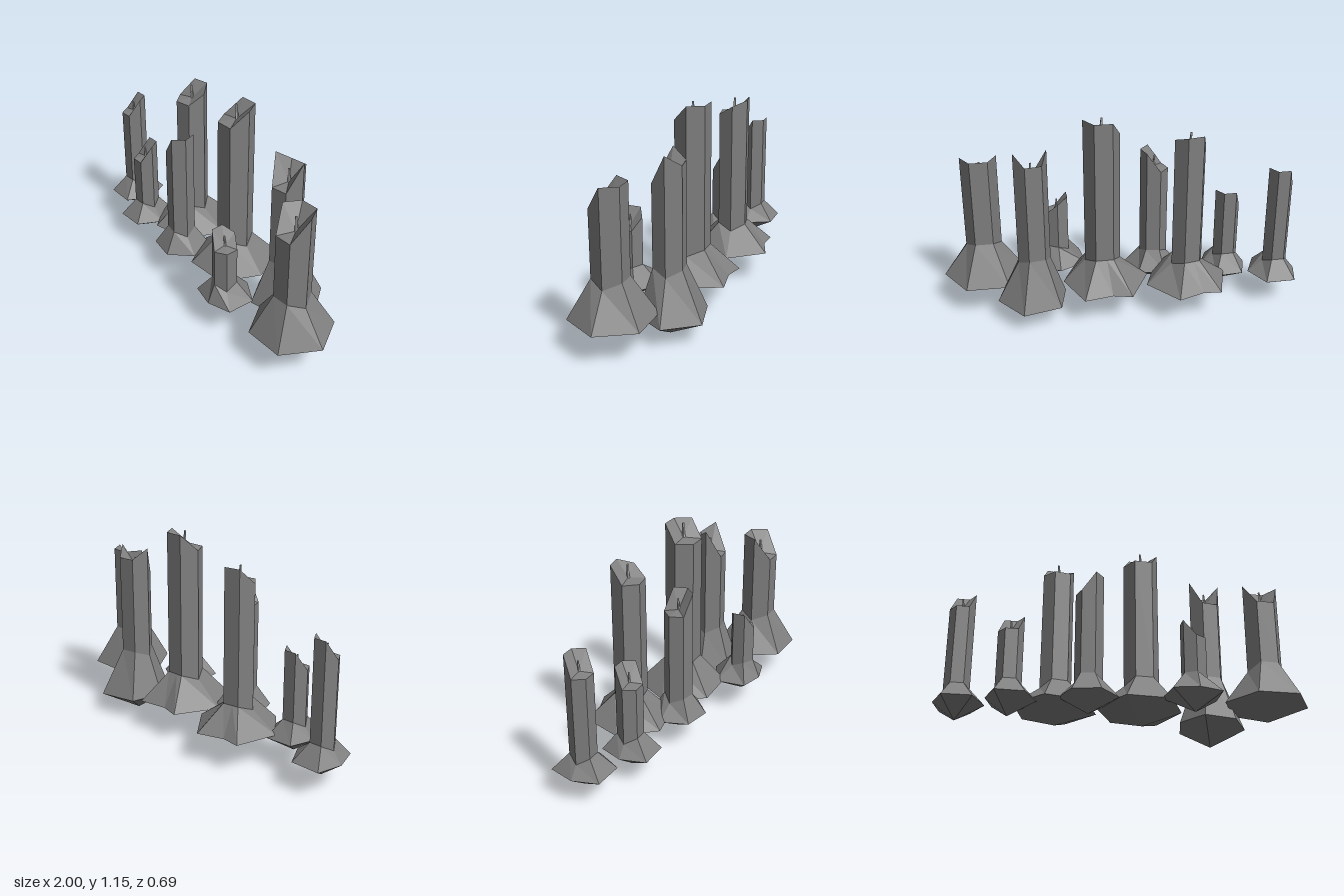
import * as THREE from 'three';

const wax = new THREE.MeshStandardMaterial({ color: 0x808080 });
wax.name = 'grey wax';
const wickGrey = new THREE.MeshStandardMaterial({ color: 0xb4b4b4 });
wickGrey.name = 'pale wick';

// Each candle: centre, stem radius and turn in degrees, heights of foot tip, foot rim and shoulder,
// low and high rim of the top, which of them each top corner takes, and the reach of each foot corner.
// Corners run from +x towards +z.
const candles = [
  { x: -0.88, z: -0.085, r: 0.07, turn: 0, tip: 0.07, rim: 0.163, shoulder: 0.26,
    low: 0.71, high: 0.813, top: 'HLLLHH', foot: [0.153, 0.166, 0.158, 0.12, 0.164, 0.163] },
  { x: -0.615, z: 0.03, r: 0.07, turn: 0, tip: 0.07, rim: 0.163, shoulder: 0.26,
    low: 0.545, high: 0.647, top: 'HLLLHH', foot: [0.151, 0.159, 0.159, 0.118, 0.149, 0.159] },
  { x: -0.35, z: -0.12, r: 0.09, turn: -10, tip: 0.09, rim: 0.182, shoulder: 0.325, dented: true,
    low: 0.985, high: 1.07, top: 'MLLLHH', foot: [0.236, 0.227, 0.234, 0.234, 0.248, 0.246] },
  { x: -0.2, z: 0.09, r: 0.077, turn: 12, tip: 0.09, rim: 0.182, shoulder: 0.295,
    low: 0.785, high: 0.895, top: 'HHLLLH', foot: [0.164, 0.153, 0.154, 0.158, 0.144, 0.158] },
  { x: 0.115, z: -0.045, r: 0.099, turn: 0, tip: 0.09, rim: 0.182, shoulder: 0.345, dented: true,
    low: 1.06, high: 1.15, top: 'HLLLHH', foot: [0.223, 0.242, 0.25, 0.256, 0.264, 0.263] },
  { x: 0.34, z: 0.225, r: 0.07, turn: 30, tip: 0.09, rim: 0.187, shoulder: 0.29,
    low: 0.5, high: 0.595, top: 'LLHHML', foot: [0.154, 0.114, 0.156, 0.181, 0.165, 0.161] },
  { x: 0.497, z: -0.065, r: 0.091, turn: -8, tip: 0, rim: 0.125, shoulder: 0.385,
    low: 0.84, high: 1, top: 'HLLHMM', foot: [0.215, 0.178, 0.188, 0.172, 0.205, 0.226] },
  { x: 0.763, z: 0.14, r: 0.099, turn: 0, tip: 0.09, rim: 0.188, shoulder: 0.405,
    low: 0.77, high: 0.903, top: 'HLLHHH', foot: [0.232, 0.228, 0.22, 0.233, 0.24, 0.234] },
];

// Faceted skin through a list of rings; a ring may repeat one shared point
function loft(rings) {
  const pos = [];
  for (let k = 0; k < rings.length - 1; k++) {
    const low = rings[k], high = rings[k + 1];
    low.forEach((a, i) => {
      const j = (i + 1) % low.length;
      const b = low[j], c = high[j], d = high[i];
      if (d !== c) [a, d, c].forEach((p) => pos.push(p.x, p.y, p.z));
      if (a !== b) [a, c, b].forEach((p) => pos.push(p.x, p.y, p.z));
    });
  }
  const geo = new THREE.BufferGeometry();
  geo.setAttribute('position', new THREE.Float32BufferAttribute(pos, 3));
  geo.computeVertexNormals();
  return geo;
}

function candle(c) {
  const group = new THREE.Group();
  group.name = 'candle';

  // Six-cornered ring; a dented candle gets a seventh point on its back edge, pulled inwards by dent
  const ring = (reach, height, dent = 0) => {
    const points = [0, 1, 2, 3, 4, 5].map((i) => {
      const a = THREE.MathUtils.degToRad(c.turn + i * 60);
      return new THREE.Vector3(c.x + reach(i) * Math.cos(a), height(i), c.z + reach(i) * Math.sin(a));
    });
    if (c.dented) {
      const extra = points[4].clone().lerp(points[5], 0.38);
      extra.lerp(new THREE.Vector3(c.x, extra.y, c.z), dent);
      points.splice(5, 0, extra);
    }
    return points;
  };
  const point = (y) => Array(c.dented ? 7 : 6).fill(new THREE.Vector3(c.x, y, c.z));

  const level = { L: c.low, M: c.low + 0.65 * (c.high - c.low), H: c.high };
  const well = c.low + 0.12 * (c.high - c.low);
  const rim = ring((i) => c.foot[i], () => c.rim, 0.12);
  const shoulder = ring(() => c.r, (i) => c.shoulder - (i % 3 ? 0 : 0.033));
  const lip = ring(() => c.r, (i) => level[c.top[i]]);

  // Pointed foot, six-sided stem and sunken, slanting top
  const parts = [
    ['foot', [point(c.tip), rim, shoulder]],
    ['stem', [shoulder, lip]],
    ['meltedTop', [lip, point(well)]],
  ];
  for (const [name, rings] of parts) {
    const mesh = new THREE.Mesh(loft(rings), wax);
    mesh.name = name;
    group.add(mesh);
  }

  // Thin leaning wick
  const h = c.r * 0.85;
  const wickGeo = new THREE.CylinderGeometry(c.r * 0.06, c.r * 0.1, h, 5).toNonIndexed();
  wickGeo.computeVertexNormals();
  const wick = new THREE.Mesh(wickGeo, wickGrey);
  wick.name = 'wick';
  wick.position.set(c.x, well + h * 0.48, c.z);
  wick.rotation.z = 0.08;
  group.add(wick);
  return group;
}

export function createModel() {
  const model = new THREE.Group();
  model.name = 'candleRow';
  candles.forEach((c) => model.add(candle(c)));
  return model;
}
